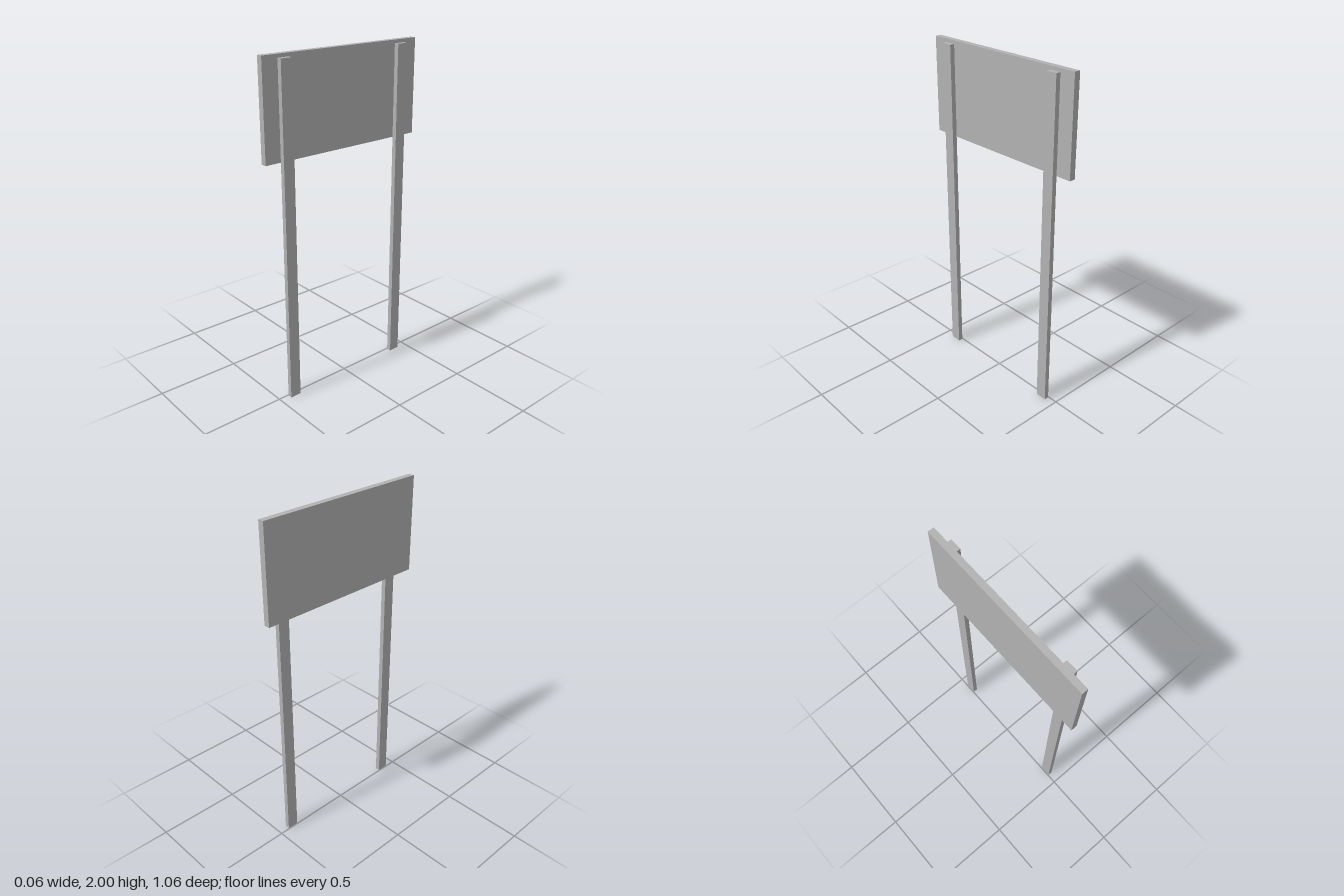
import * as THREE from 'three';

export function createModel() {
  const model = new THREE.Group();
  const grey = new THREE.MeshStandardMaterial({ color: 0xb2b2b2 });
  grey.name = 'plain grey';

  // Box given by its lower and upper corners
  const addBox = (name, min, max) => {
    const size = max.map((v, i) => v - min[i]);
    const mesh = new THREE.Mesh(new THREE.BoxGeometry(...size), grey);
    mesh.position.set(...max.map((v, i) => (v + min[i]) / 2));
    mesh.name = name;
    model.add(mesh);
  };

  // Sign panel, facing -x
  addBox('signBoard', [-0.032, 1.44, -0.532], [0.004, 2, 0.532]);

  // Two posts fixed to the back of the panel
  for (const [name, z] of [['frontPost', 0.402], ['backPost', -0.405]]) {
    addBox(name, [0.004, 0, z - 0.034], [0.032, 1.98, z + 0.034]);
  }
  return model;
}
